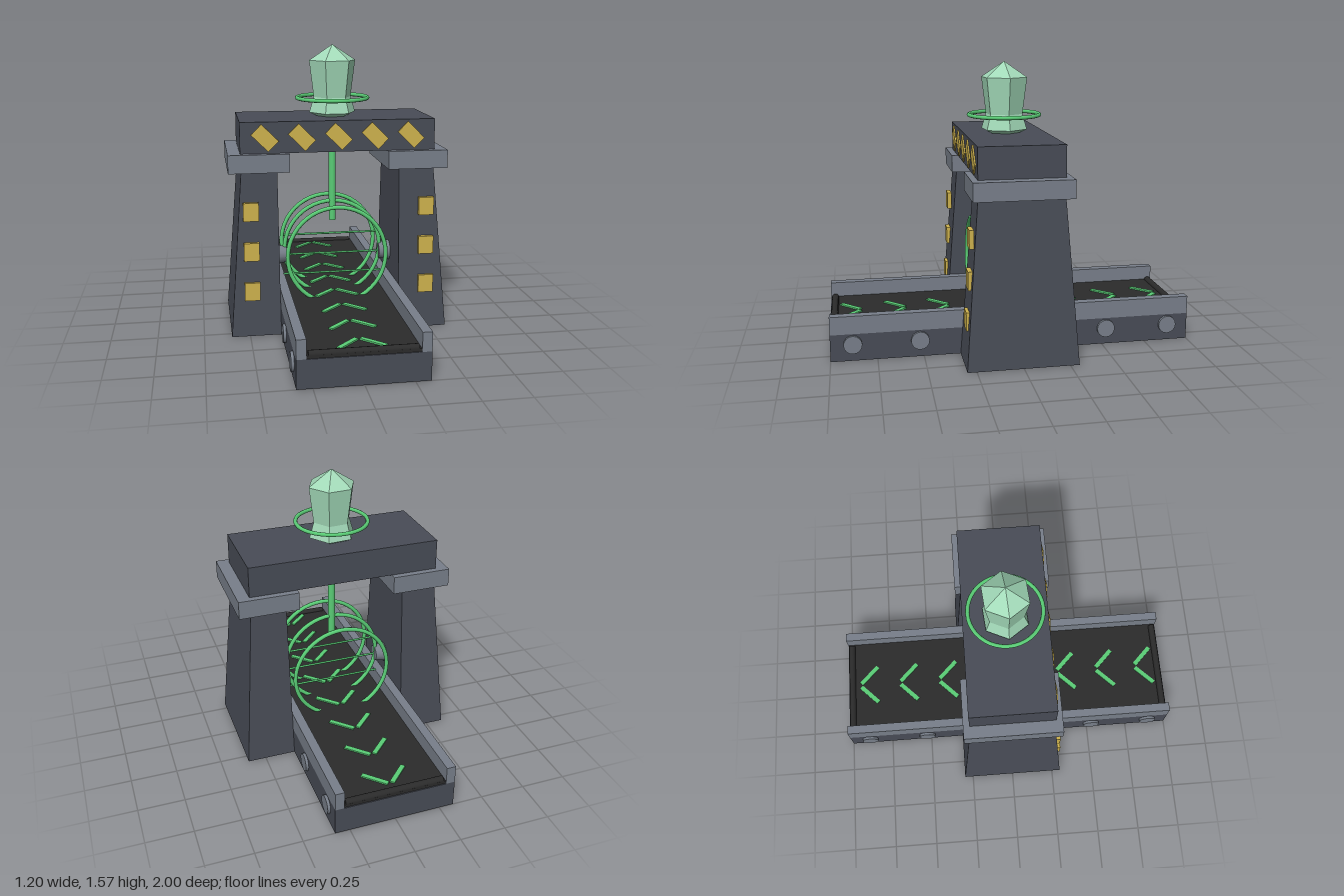
import * as THREE from 'three';

const mat = (name, color, opts = {}) => {
  const m = new THREE.MeshStandardMaterial({ color, ...opts });
  m.name = name;
  return m;
};

export function createModel() {
  const model = new THREE.Group();
  model.name = 'scannerGate';

  const dark = mat('dark slate', 0x484c56);
  const grey = mat('steel grey', 0x787f8a);
  const black = mat('belt black', 0x2b2b2b);
  const green = mat('glow green', 0x5acd76);
  const yellow = mat('hazard yellow', 0xcfb34e);
  const crystalMat = mat('pale crystal', 0xa2d9b8, { flatShading: true });

  const add = (name, geometry, material, x = 0, y = 0, z = 0) => {
    const mesh = new THREE.Mesh(geometry, material);
    mesh.name = name;
    mesh.position.set(x, y, z);
    model.add(mesh);
    return mesh;
  };
  const box = (name, material, w, h, d, x, y, z) =>
    add(name, new THREE.BoxGeometry(w, h, d), material, x, y, z);

  // Conveyor base and belt
  box('conveyorBase', dark, 0.66, 0.15, 2, 0, 0.075, 0);
  box('belt', black, 0.56, 0.016, 1.99, 0, 0.158, 0);
  for (const z of [-0.975, 0.975]) {
    add('endRoller', new THREE.CylinderGeometry(0.02, 0.02, 0.54, 12).rotateZ(Math.PI / 2), black, 0, 0.165, z);
  }

  // Direction chevrons pointing to the back
  for (let i = 0; i < 8; i++) {
    for (const s of [-1, 1]) {
      const bar = box('chevronBar', green, 0.15, 0.008, 0.026, s * 0.064, 0.17, -0.865 + i * 0.25);
      bar.rotation.y = -s * Math.PI / 4;
    }
  }

  // Pillar: upright box drawn in toward the top on its outer, front and back sides
  const pillarGeometry = (s) => {
    const g = new THREE.BoxGeometry(0.27, 0.9, 0.6);
    g.translate(s * 0.465, 0.45, 0);
    const p = g.attributes.position;
    for (let i = 0; i < p.count; i++) {
      if (p.getY(i) < 0.5) continue;
      p.setZ(i, Math.sign(p.getZ(i)) * 0.23);
      p.setX(i, s * (Math.abs(p.getX(i)) > 0.5 ? 0.53 : 0.335));
    }
    g.computeVertexNormals();
    return g;
  };

  for (const s of [-1, 1]) {
    box('sideRail', grey, 0.05, 0.1, 2, s * 0.305, 0.2, 0);
    add('pillar', pillarGeometry(s), dark);
    box('pillarCap', grey, 0.33, 0.1, 0.53, s * 0.435, 0.95, 0);

    // Emitter on the inner face of the pillar
    add('emitter', new THREE.CylinderGeometry(0.045, 0.06, 0.07, 16).rotateZ(s * Math.PI / 2), grey, s * 0.305, 0.37, 0);

    // Warning plates up the pillar front
    [[0.25, 0.294], [0.47, 0.283], [0.69, 0.275]].forEach(([y, front]) =>
      box('warningPlate', yellow, 0.084, 0.1, 0.024, s * 0.483, y, front - 0.012));

    // Roller hubs along the base
    for (const z of [-0.88, -0.52, 0.52, 0.88]) {
      add('rollerHub', new THREE.CylinderGeometry(0.05, 0.05, 0.03, 16).rotateZ(Math.PI / 2), grey, s * 0.33, 0.093, z);
    }
  }

  // Top beam with slanted hazard stripes
  box('topBeam', dark, 1.066, 0.17, 0.46, 0, 1.085, 0);
  for (let i = -2; i <= 2; i++) {
    const stripe = box('hazardStripe', yellow, 0.13, 0.08, 0.009, i * 0.2, 1.084, 0.2335);
    stripe.rotation.z = -Math.PI / 4;
  }

  // Scanning rings, cross beams and hanging probe
  for (const z of [-0.18, 0, 0.18]) {
    add('scanRing', new THREE.TorusGeometry(0.278, 0.012, 8, 48), green, 0, 0.4, z);
  }
  [0.25, 0.367, 0.485].forEach((y) =>
    add('scanBeam', new THREE.CylinderGeometry(0.006, 0.006, 0.57, 8).rotateZ(Math.PI / 2), green, 0, y, 0));
  add('probeRod', new THREE.CylinderGeometry(0.02, 0.02, 0.44, 12), green, 0, 0.785, 0);

  // Six-sided crystal with its halo
  const profile = [[0, 1.165], [0.08, 1.165], [0.132, 1.19], [0.106, 1.275], [0.132, 1.478], [0, 1.565]]
    .map(([r, y]) => new THREE.Vector2(r, y));
  add('crystal', new THREE.LatheGeometry(profile, 6, THREE.MathUtils.degToRad(35)), crystalMat);
  add('crystalHalo', new THREE.TorusGeometry(0.198, 0.011, 8, 40).rotateX(Math.PI / 2), green, 0, 1.27, 0);

  return model;
}
